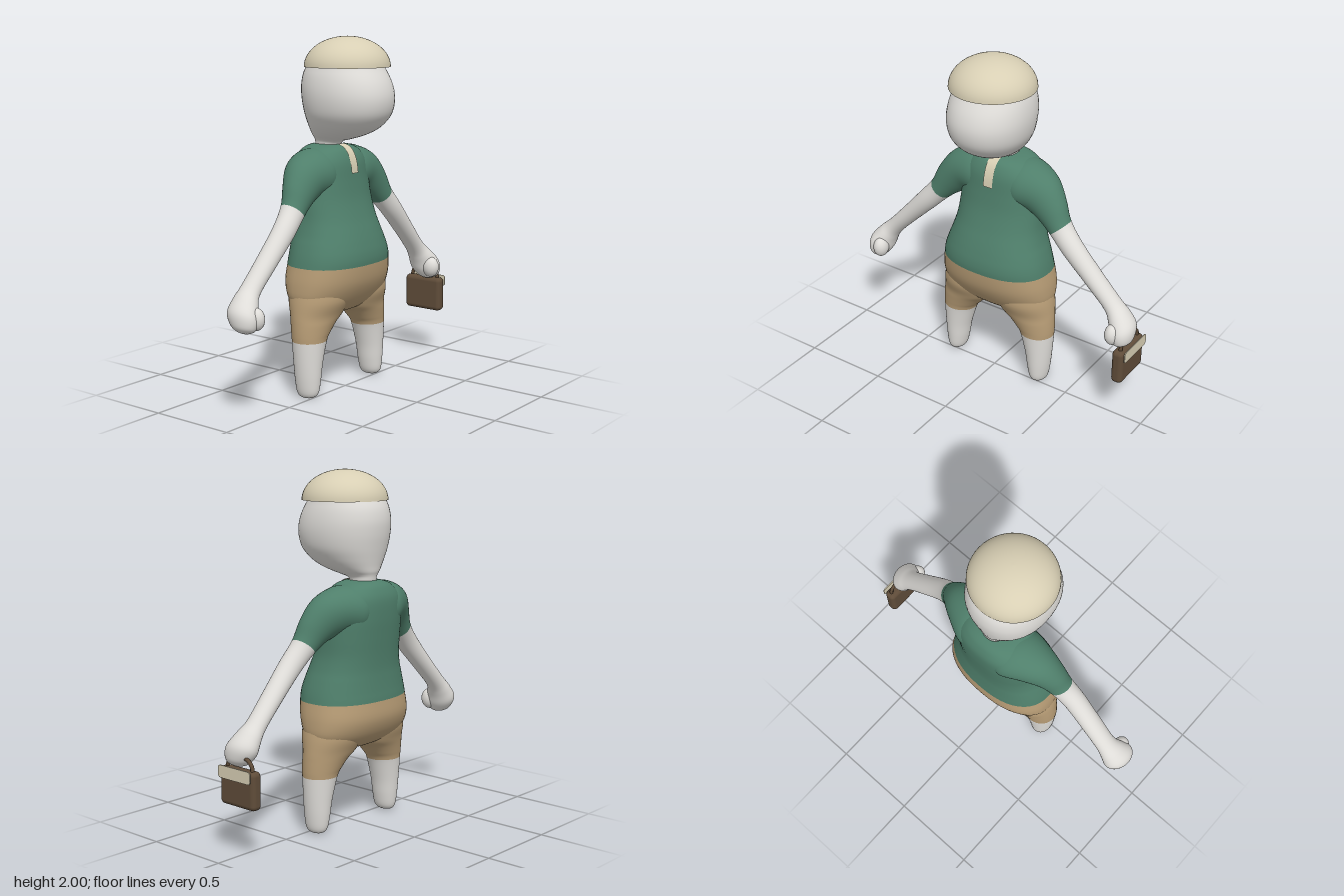
import * as THREE from 'three';
import { RoundedBoxGeometry } from 'three/addons/geometries/RoundedBoxGeometry.js';

const mat = (name, color, side = THREE.FrontSide) => {
  const m = new THREE.MeshStandardMaterial({ color, side });
  m.name = name;
  return m;
};

// Catmull-Rom interpolation of whole key rows
function sample(keys, i, f) {
  const row = (k) => keys[Math.min(Math.max(k, 0), keys.length - 1)];
  const [a, b, c, d] = [row(i - 1), row(i), row(i + 1), row(i + 2)];
  return b.map((_, n) => b[n] + 0.5 * f * (c[n] - a[n]
    + f * (2 * a[n] - 5 * b[n] + 4 * c[n] - d[n] + f * (3 * (b[n] - c[n]) + d[n] - a[n]))));
}

// Loft through rings [x, y, z, radius, z radius, ring angle];
// the material changes from 0 to 1 at key number "cut".
function loft(keys, { cut = 0, power = 2, side = 1, sub = 5, seg = 48 } = {}) {
  const pos = [], idx = [], rows = (keys.length - 1) * sub;
  const bend = (v) => Math.sign(v) * Math.abs(v) ** (2 / power);
  for (let i = 0; i <= rows; i++) {
    const k = Math.min(Math.floor(i / sub), keys.length - 2);
    const [x, y, z, r, rz, ang] = sample(keys, k, i / sub - k);
    for (let j = 0; j < seg; j++) {
      const t = (j / seg) * Math.PI * 2, w = r * bend(Math.cos(t));
      pos.push(side * (x + w * Math.cos(ang)), y + w * Math.sin(ang), z + rz * bend(Math.sin(t)));
    }
  }
  for (let i = 0; i < rows; i++) {
    for (let j = 0; j < seg; j++) {
      const a = i * seg + j, b = i * seg + (j + 1) % seg, c = a + seg, d = b + seg;
      if (side > 0) idx.push(a, c, b, b, c, d);
      else idx.push(a, b, c, b, d, c);
    }
  }
  const g = new THREE.BufferGeometry();
  g.setAttribute('position', new THREE.Float32BufferAttribute(pos, 3));
  g.setIndex(idx);
  g.computeVertexNormals();
  const split = cut * sub * seg * 6;
  if (cut) {
    g.addGroup(0, split, 0);
    g.addGroup(split, idx.length - split, 1);
  }
  return g;
}

// Horizontal ring from inner x, outer x, front z and back z
const ring = (y, x0, x1, front, back) =>
  [(x0 + x1) / 2, y, (front + back) / 2, (x1 - x0) / 2, (front - back) / 2, 0];

export function createModel() {
  const model = new THREE.Group();
  model.name = 'figure';
  const skin = mat('pale skin', 0xdfddd9);
  const green = mat('green cloth', 0x4f7f6b);
  const tan = mat('tan cloth', 0xb89d76);
  const cream = mat('cream', 0xd8cfb4, THREE.DoubleSide);
  const brown = mat('brown leather', 0x5f4c39);
  const add = (name, geo, material, parent = model) => {
    const m = new THREE.Mesh(geo, material);
    m.name = name;
    parent.add(m);
    return m;
  };

  // Trunk: hips, belly, chest [y, half width, front z, back z]
  const trunk = [
    [0.45, 0.001, -0.05, -0.052], [0.456, 0.12, 0.02, -0.12], [0.49, 0.28, 0.07, -0.18],
    [0.55, 0.345, 0.12, -0.24], [0.64, 0.351, 0.165, -0.278], [0.74, 0.335, 0.182, -0.276],
    [0.8, 0.322, 0.18, -0.27], [0.86, 0.303, 0.165, -0.265], [0.92, 0.282, 0.145, -0.262],
    [1.0, 0.264, 0.115, -0.265], [1.1, 0.258, 0.085, -0.273], [1.2, 0.252, 0.068, -0.28],
    [1.3, 0.235, 0.055, -0.278], [1.36, 0.185, 0.03, -0.255], [1.388, 0.13, 0.0, -0.228],
    [1.4, 0.07, -0.035, -0.198],
  ];
  add('trunk', loft(trunk.map(([y, w, f, b]) => ring(y, -w, w, f, b)), { cut: 5, power: 2.35 }), [tan, green]);

  // Head and neck [y, half width, front z, back z]
  const head = [
    [1.36, 0.068, -0.05, -0.19], [1.41, 0.068, -0.035, -0.196], [1.43, 0.085, 0.03, -0.2],
    [1.45, 0.115, 0.1, -0.207], [1.48, 0.15, 0.172, -0.212], [1.52, 0.183, 0.228, -0.22],
    [1.58, 0.215, 0.272, -0.232], [1.66, 0.23, 0.287, -0.245], [1.74, 0.227, 0.27, -0.247],
    [1.82, 0.207, 0.227, -0.225], [1.9, 0.165, 0.17, -0.16], [1.94, 0.001, 0.01, 0.008],
  ];
  add('head', loft(head.map(([y, w, f, b]) => ring(y, -w, w, f, b)), { power: 2.15 }), skin);

  // Domed cap with a flat underside
  const dome = [new THREE.Vector2(0, 1.832), new THREE.Vector2(0.238, 1.832)];
  const cap = add('cap', new THREE.LatheGeometry(dome, 48), cream);
  cap.position.z = 0.015;
  const arc = Array.from({ length: 17 }, (_, i) => {
    const t = (i / 16) * Math.PI / 2;
    return new THREE.Vector2(0.24 * Math.cos(t), 1.832 + 0.168 * Math.sin(t));
  });
  add('capDome', new THREE.LatheGeometry(arc, 48), cream, cap);

  // Collar strip laid over the chest curve
  const chest = trunk.slice(11).map(([y, , f]) => new THREE.Vector3(0, y, f));
  const chestLine = new THREE.CatmullRomCurve3(chest);
  const strip = new THREE.PlaneGeometry(0.06, 1, 2, 24);
  const sp = strip.attributes.position;
  for (let i = 0; i < sp.count; i++) {
    const p = chestLine.getPoint(0.1 + 0.9 * (sp.getY(i) + 0.5));
    sp.setXYZ(i, sp.getX(i), p.y + 0.002, p.z + 0.006);
  }
  strip.computeVertexNormals();
  add('collarStrip', strip, cream);

  // Legs: feet up into the hips
  const leg = [
    ring(0.001, 0.296, 0.298, -0.037, -0.039), ring(0.004, 0.268, 0.325, 0.0, -0.078),
    ring(0.03, 0.242, 0.345, 0.028, -0.103), ring(0.1, 0.225, 0.357, 0.038, -0.115),
    ring(0.2, 0.207, 0.366, 0.044, -0.124), ring(0.325, 0.168, 0.374, 0.053, -0.138),
    ring(0.37, 0.135, 0.375, 0.06, -0.148), ring(0.42, 0.085, 0.373, 0.07, -0.163),
    ring(0.47, 0.02, 0.369, 0.082, -0.182), ring(0.55, 0.0, 0.358, 0.11, -0.21),
    ring(0.64, 0.05, 0.335, 0.1, -0.2),
  ];

  // Arms: shoulder out to fist
  const arm = [
    [0.1, 1.25, -0.115, 0.13, 0.15, -1.6], [0.16, 1.24, -0.11, 0.143, 0.155, -1.8],
    [0.26, 1.215, -0.09, 0.127, 0.12, -2.15], [0.34, 1.148, -0.065, 0.098, 0.088, -2.4],
    [0.406, 1.066, -0.048, 0.07, 0.07, -2.42], [0.5, 0.965, -0.035, 0.062, 0.063, -2.4],
    [0.64, 0.82, -0.038, 0.053, 0.06, -2.4], [0.755, 0.7, -0.042, 0.05, 0.06, -2.42],
    [0.805, 0.64, -0.034, 0.061, 0.078, -2.5], [0.842, 0.578, -0.02, 0.073, 0.095, -2.65],
    [0.858, 0.525, -0.005, 0.058, 0.075, -2.75], [0.864, 0.502, 0.0, 0.033, 0.04, -2.8],
    [0.866, 0.494, 0.002, 0.001, 0.001, -2.8],
  ];
  for (const [label, side] of [['left', 1], ['right', -1]]) {
    add(label + 'Leg', loft(leg, { cut: 5, side }), [skin, tan]);
    add(label + 'Arm', loft(arm, { cut: 4, side }), [green, skin]);
    const thumb = add(label + 'Thumb', new THREE.SphereGeometry(1, 24, 16), skin);
    thumb.scale.set(0.045, 0.062, 0.052);
    thumb.position.set(side * 0.812, 0.568, 0.042);
  }

  // Handbag held in the left fist
  const bag = new THREE.Group();
  bag.name = 'handbag';
  model.add(bag);
  add('bagBody', new RoundedBoxGeometry(0.068, 0.208, 0.255, 4, 0.026), brown, bag)
    .position.set(0.868, 0.388, -0.038);
  const handle = new THREE.CatmullRomCurve3([
    [0.475, 0.055], [0.515, 0.045], [0.545, 0.0], [0.552, -0.04],
    [0.548, -0.09], [0.52, -0.125], [0.475, -0.135],
  ].map(([y, z]) => new THREE.Vector3(0.872, y, z)));
  add('bagHandle', new THREE.TubeGeometry(handle, 32, 0.011, 8), brown, bag);

  // Flap plate with rounded corners on the outer face
  const w = 0.12, h = 0.034, r = 0.018;
  const outline = new THREE.Shape();
  outline.absarc(w - r, h - r, r, 0, Math.PI / 2);
  outline.absarc(-w + r, h - r, r, Math.PI / 2, Math.PI);
  outline.absarc(-w + r, -h + r, r, Math.PI, Math.PI * 1.5);
  outline.absarc(w - r, -h + r, r, Math.PI * 1.5, Math.PI * 2);
  const flap = add('bagFlap', new THREE.ExtrudeGeometry(outline, { depth: 0.006, bevelEnabled: false }), cream, bag);
  flap.rotation.y = Math.PI / 2;
  flap.position.set(0.911, 0.466, -0.038);

  return model;
}
